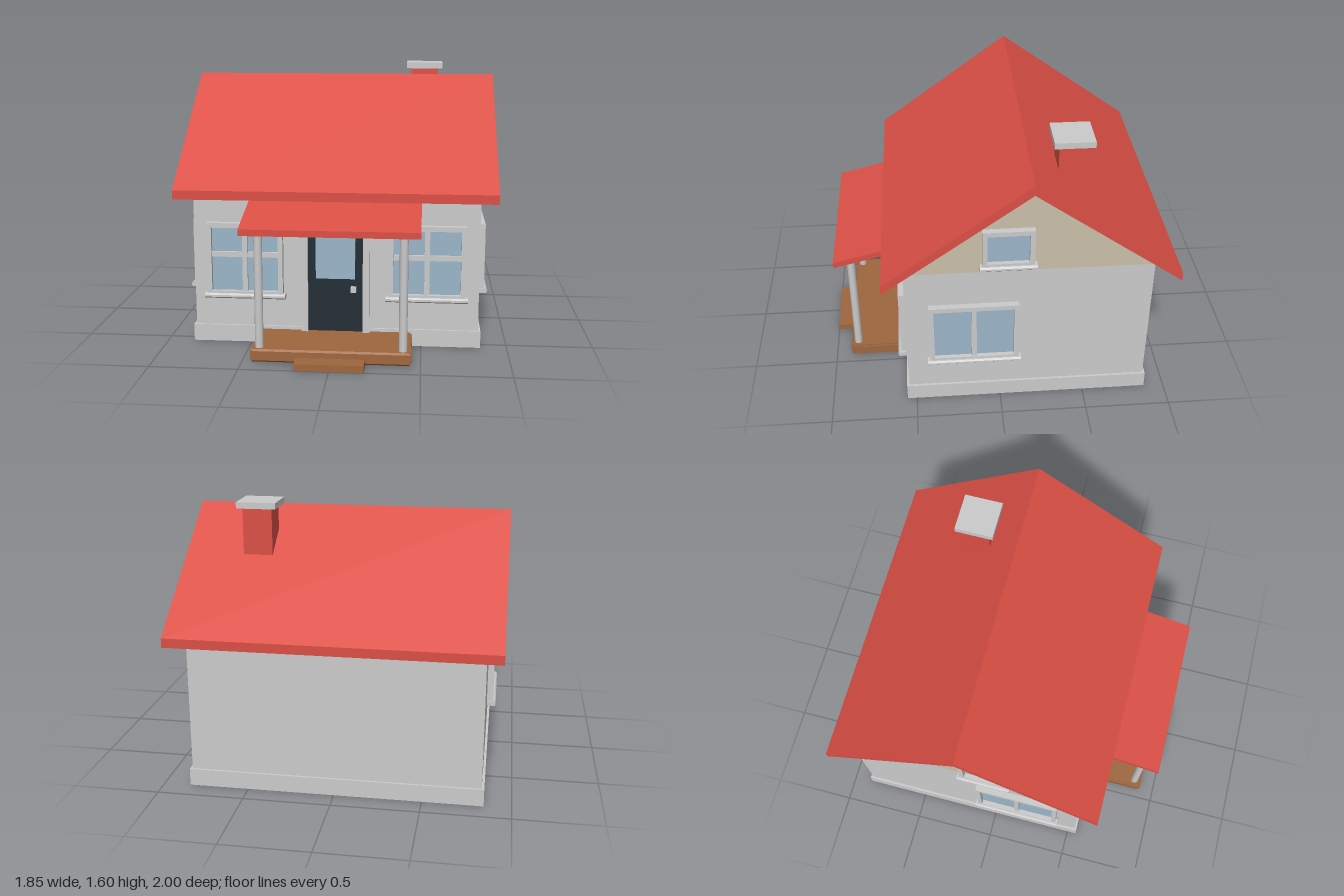
import * as THREE from 'three';

const mat = (name, color) => {
  const m = new THREE.MeshStandardMaterial({ color });
  m.name = name;
  return m;
};
const M = {
  wall: mat('wall grey', 0xcbcbcb),
  gable: mat('gable beige', 0xcbbfaa),
  red: mat('roof red', 0xdb4f45),
  glass: mat('glass blue', 0x9bb6ca),
  door: mat('door navy', 0x222d36),
  wood: mat('deck wood', 0x9f673f),
};

function add(parent, name, geometry, material) {
  const mesh = new THREE.Mesh(geometry, material);
  mesh.name = name;
  parent.add(mesh);
  return mesh;
}

// Box given by its limits on each axis
function box(parent, name, material, x0, x1, y0, y1, z0, z1) {
  const g = new THREE.BoxGeometry(x1 - x0, y1 - y0, z1 - z0);
  g.translate((x0 + x1) / 2, (y0 + y1) / 2, (z0 + z1) / 2);
  return add(parent, name, g, material);
}

// Side profile of [z, y] points, extruded across x and centred
function across(points, width) {
  const shape = new THREE.Shape(points.map(([z, y]) => new THREE.Vector2(z, y)));
  const g = new THREE.ExtrudeGeometry(shape, { depth: width, bevelEnabled: false });
  return g.translate(0, 0, -width / 2).rotateY(-Math.PI / 2);
}

// Rectangle with chamfered corners as [z, y] points
function chamfered(z0, z1, y0, y1, c) {
  return [[z0 + c, y0], [z1 - c, y0], [z1, y0 + c], [z1, y1 - c],
    [z1 - c, y1], [z0 + c, y1], [z0, y1 - c], [z0, y0 + c]];
}

// Rectangular border standing out along +z
function border(w, h, rim, depth) {
  const rect = (T, a, b) => new T([[-a, -b], [a, -b], [a, b], [-a, b]]
    .map(([x, y]) => new THREE.Vector2(x, y)));
  const shape = rect(THREE.Shape, w / 2, h / 2);
  shape.holes.push(rect(THREE.Path, w / 2 - rim, h / 2 - rim));
  return new THREE.ExtrudeGeometry(shape, { depth, bevelEnabled: false });
}

// Window facing +z, centred on its frame, back against z = 0
function makeWindow(name, w, h, { upright = false, crossbar = null } = {}) {
  const g = new THREE.Group();
  g.name = name;
  const a = w / 2 - 0.028, b = h / 2 - 0.028;
  add(g, 'windowFrame', border(w, h, 0.028, 0.038), M.wall);
  box(g, 'windowPane', M.glass, -a, a, -b, b, 0.004, 0.012);
  if (upright) box(g, 'windowUpright', M.wall, -0.015, 0.015, -b, b, 0.005, 0.03);
  if (crossbar !== null) box(g, 'windowCrossbar', M.wall, -a, a, crossbar - 0.015, crossbar + 0.015, 0.005, 0.029);
  add(g, 'windowSill', across(chamfered(0, 0.055, -h / 2 - 0.013, -h / 2 + 0.015, 0.008), w + 0.03), M.wall);
  return g;
}

export function createModel() {
  const house = new THREE.Group();
  house.name = 'house';

  // Walls, plinth and gable
  box(house, 'walls', M.wall, -0.832, 0.832, 0.02, 0.93, -0.867, 0.543);
  box(house, 'plinth', M.wall, -0.846, 0.846, 0, 0.1, -0.881, 0.556);
  add(house, 'gable', across([[0.543, 0.93], [-0.162, 1.46], [-0.867, 0.93]], 1.664), M.gable);

  // Main roof
  add(house, 'roof', across([[0.664, 0.93], [-0.166, 1.54], [-1, 0.93], [-1, 0.877],
    [-0.166, 1.482], [0.664, 0.877]], 1.85), M.red);

  // Chimney
  box(house, 'chimney', M.red, 0.415, 0.585, 1.2, 1.57, -0.5, -0.335);
  box(house, 'chimneyCap', M.wall, 0.386, 0.614, 1.566, 1.602, -0.53, -0.304);

  // Porch
  add(house, 'porchRoof', across([[0.955, 0.742], [0.955, 0.778], [0.54, 0.882], [0.54, 0.846]], 0.988), M.red);
  const deck = new THREE.Group();
  deck.name = 'porchDeck';
  house.add(deck);
  add(deck, 'deckBoard', across(chamfered(0.545, 0.905, 0.008, 0.082, 0.01), 0.88), M.wood);
  box(deck, 'deckEnds', M.wood, -0.449, 0.449, 0.018, 0.072, 0.55, 0.895);
  box(house, 'porchStep', M.wood, -0.193, 0.193, 0, 0.04, 0.895, 1);
  for (const s of [-1, 1]) {
    const post = new THREE.CylinderGeometry(0.024, 0.024, 0.69, 12);
    add(house, 'porchPost', post, M.wall).position.set(s * 0.402, 0.42, 0.86);
  }

  // Front door
  const door = new THREE.Group();
  door.name = 'frontDoor';
  house.add(door);
  for (const s of [-1, 1]) {
    box(door, 'doorJamb', M.wall, s * 0.18 - 0.02, s * 0.18 + 0.02, 0.07, 0.742, 0.54, 0.583);
  }
  box(door, 'doorLintel', M.wall, -0.16, 0.16, 0.704, 0.742, 0.54, 0.583);
  box(door, 'doorLeaf', M.door, -0.16, 0.16, 0.075, 0.704, 0.54, 0.56);
  box(door, 'doorPane', M.glass, -0.115, 0.115, 0.4, 0.66, 0.557, 0.564);
  box(door, 'doorHandle', M.wall, 0.09, 0.122, 0.323, 0.357, 0.558, 0.58);

  // Windows, mirrored on the front and on both gable walls
  for (const s of [-1, 1]) {
    const front = makeWindow('frontWindow', 0.446, 0.435, { upright: true, crossbar: 0.03 });
    front.position.set(s * 0.53, 0.506, 0.542);
    const side = makeWindow('sideWindow', 0.515, 0.4, { upright: true });
    side.position.set(s * 0.831, 0.506, 0.153);
    const attic = makeWindow('atticWindow', 0.288, 0.24);
    attic.position.set(s * 0.831, 1.098, -0.04);
    side.rotation.y = attic.rotation.y = s * Math.PI / 2;
    house.add(front, side, attic);
  }
  return house;
}
